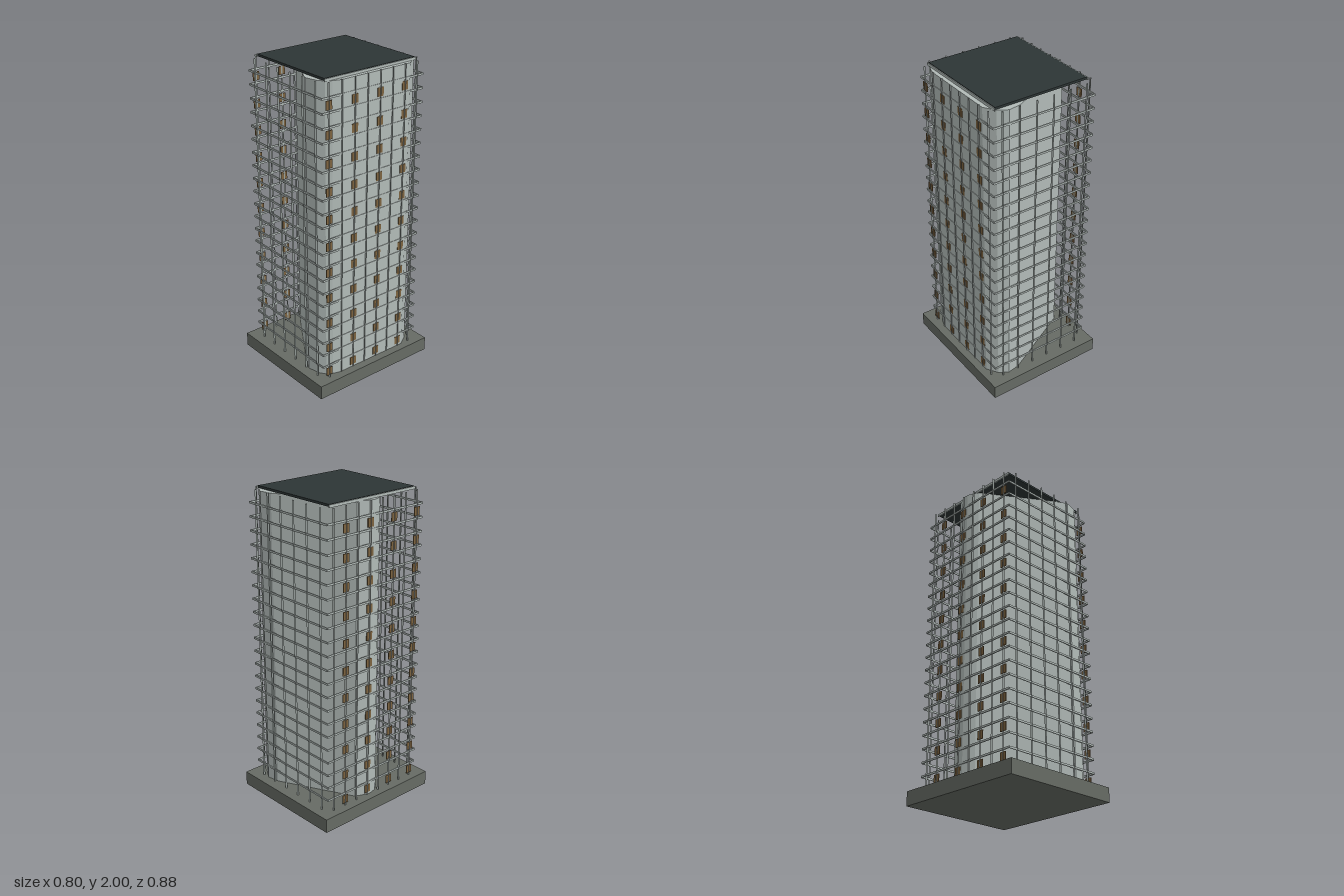
import * as THREE from 'three';

const mat = (name, color, extra = {}) => {
  const m = new THREE.MeshStandardMaterial({ color, ...extra });
  m.name = name;
  return m;
};

export function createModel() {
  const pale = mat('paleConcrete', 0xb2bbb8);
  const steel = mat('postGrey', 0x98a09d);
  const stone = mat('baseStone', 0x666b64);
  const dark = mat('roofDark', 0x2d3535);
  const brown = mat('panelBrown', 0x7c6340);

  const tower = new THREE.Group();
  tower.name = 'tower';

  const add = (parent, name, geometry, material, x, y, z) => {
    const mesh = new THREE.Mesh(geometry, material);
    mesh.name = name;
    mesh.position.set(x, y, z);
    parent.add(mesh);
    return mesh;
  };
  const box = (parent, name, material, w, h, d, x, y, z) =>
    add(parent, name, new THREE.BoxGeometry(w, h, d), material, x, y, z);
  const group = (name) => {
    const g = new THREE.Group();
    g.name = name;
    tower.add(g);
    return g;
  };

  const baseTop = 0.09, top = 1.985, floors = 22;
  const storey = (top - baseTop) / floors;
  const halfX = 0.345, halfZ = 0.375;

  // Base and roof, turned very slightly
  box(tower, 'base', stone, 0.793, baseTop, 0.877, 0, baseTop / 2, 0).rotation.y = 0.007;
  const roof = group('roof');
  roof.rotation.y = 0.007;
  box(roof, 'roofSlab', dark, 0.622, 0.014, 0.67, 0, 1.993, 0);
  for (const s of [-1, 1]) {
    box(roof, 'roofEdge', pale, 0.005, 0.017, 0.68, s * 0.316, 1.99, 0);
  }

  // Core: a rounded triangular footprint, listed as x, z
  const footprint = [
    [-0.31, -0.12], [-0.345, -0.04], [-0.345, -0.01], [-0.332, 0.03], [-0.31, 0.06],
    [0.12, 0.335], [0.19, 0.37], [0.27, 0.352], [0.31, 0.325], [0.33, 0.29], [0.345, 0.24],
    [0.345, -0.27], [0.30, -0.34], [0.24, -0.375], [0.16, -0.36], [0.11, -0.335],
  ];
  const shape = new THREE.Shape(footprint.map(([x, z]) => new THREE.Vector2(x, -z)));
  const coreGeo = new THREE.ExtrudeGeometry(shape, { depth: top - 0.003, bevelEnabled: false });
  coreGeo.rotateX(-Math.PI / 2);
  add(tower, 'core', coreGeo, pale, 0, 0.001, 0);

  // Horizontal rails around every floor
  const rails = group('floorRails');
  for (let i = 1; i < floors; i++) {
    const y = baseTop + i * storey;
    for (const s of [-1, 1]) {
      box(rails, 'rail', pale, 2 * halfX, 0.012, 0.006, 0, y, s * halfZ);
      box(rails, 'sideRail', pale, 0.006, 0.012, 2 * halfZ, s * halfX, y, 0);
    }
  }

  // Upright posts, pointed outward
  const posts = group('posts');
  const postGeo = new THREE.CylinderGeometry(0.006, 0.006, top - baseTop, 3).toNonIndexed();
  postGeo.computeVertexNormals();
  const midY = (baseTop + top) / 2;
  for (const s of [-1, 1]) {
    for (let i = 0; i < 6; i++) {
      const post = add(posts, 'post', postGeo, steel, (i - 2.5) * 0.114, midY, s * halfZ);
      post.rotation.y = s > 0 ? 0 : Math.PI;
    }
    for (let i = 0; i < 8; i++) {
      const post = add(posts, 'sidePost', postGeo, steel, s * halfX, midY, (i - 3.5) * 0.0935);
      post.rotation.y = s * Math.PI / 2;
    }
  }

  // Brown panels on the two sides, behind every other post on every other floor
  const panels = group('sidePanels');
  for (const s of [-1, 1]) {
    for (let f = 0; f < floors; f += 2) {
      for (let i = 1; i < 8; i += 2) {
        box(panels, 'panel', brown, 0.005, 0.053, 0.044,
          s * halfX, baseTop + (f + 0.5) * storey, (i - 3.5) * 0.0935);
      }
    }
  }

  return tower;
}
